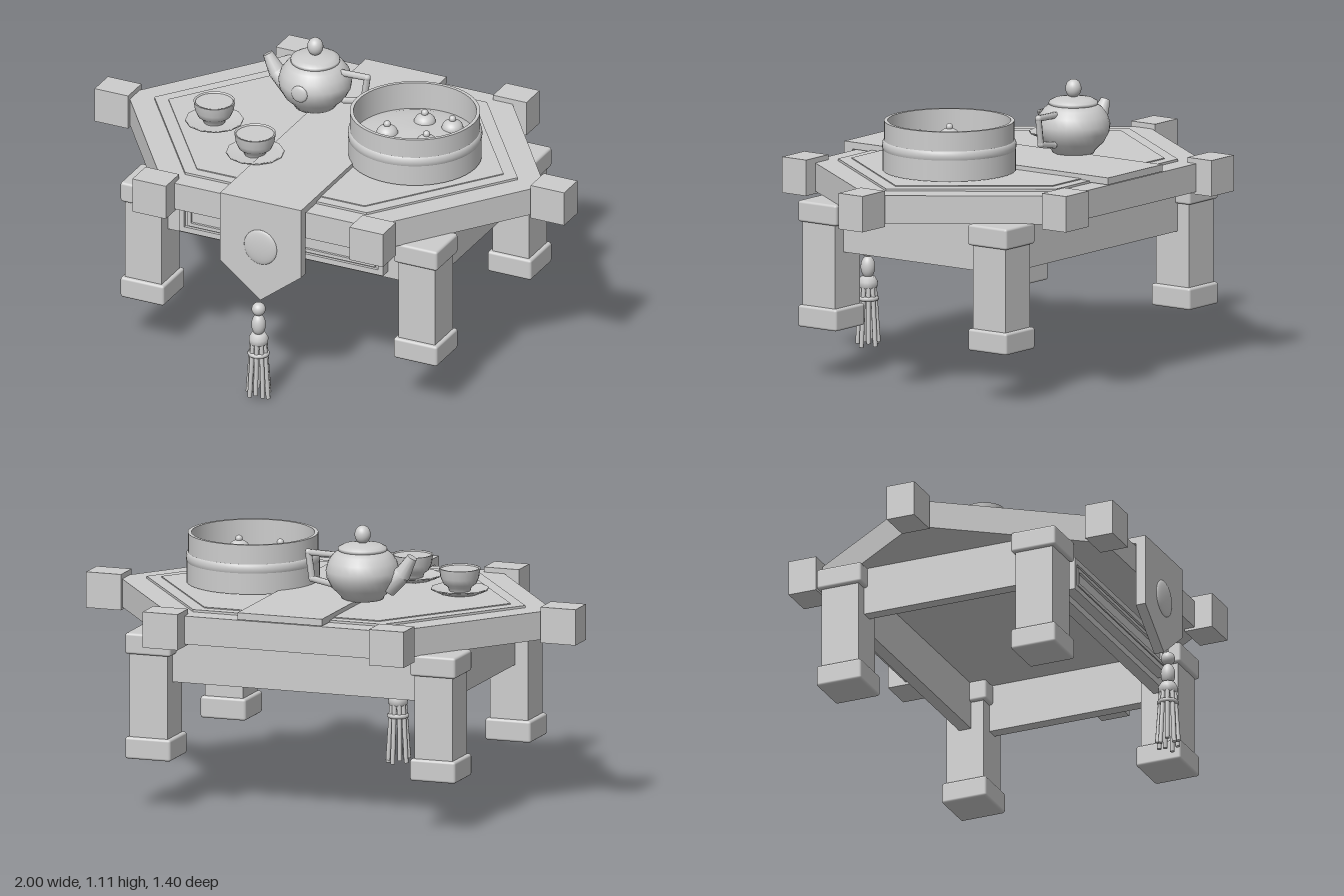
import * as THREE from 'three';
import { RoundedBoxGeometry } from 'three/addons/geometries/RoundedBoxGeometry.js';

const grey = new THREE.MeshStandardMaterial({ color: 0xcccccc });
grey.name = 'plain grey';
const CZ = -0.02; // centre line of the table in z

function add(parent, name, geometry, x = 0, y = 0, z = 0) {
  const mesh = new THREE.Mesh(geometry, grey);
  mesh.name = name;
  mesh.position.set(x, y, z);
  parent.add(mesh);
  return mesh;
}

function group(parent, name, x = 0, y = 0, z = 0) {
  const g = new THREE.Group();
  g.name = name;
  g.position.set(x, y, z);
  parent.add(g);
  return g;
}

// Box given by its limits on each axis
function block(parent, name, x0, x1, y0, y1, z0, z1, round = 0) {
  const s = [x1 - x0, y1 - y0, z1 - z0];
  const geo = round ? new RoundedBoxGeometry(...s, 2, round) : new THREE.BoxGeometry(...s);
  return add(parent, name, geo, (x0 + x1) / 2, (y0 + y1) / 2, (z0 + z1) / 2);
}

const lathe = (pts, sides) => new THREE.LatheGeometry(pts.map(p => new THREE.Vector2(...p)), sides);

function ellipsoid(rx, ry, rz) {
  return new THREE.SphereGeometry(1, 24, 16).scale(rx, ry, rz);
}

// Flat-sided hexagonal slab with a corner on the x axis
function hexSlab(rx, rz, h) {
  const geo = new THREE.CylinderGeometry(1, 1, h, 6).rotateY(Math.PI / 2).toNonIndexed();
  geo.scale(rx, 1, rz / Math.sin(Math.PI / 3));
  geo.computeVertexNormals();
  return geo;
}

function rectFrame(w, h, border, depth) {
  const rect = (T, a, b) => new T([[-a, -b], [a, -b], [a, b], [-a, b]].map(p => new THREE.Vector2(...p)));
  const shape = rect(THREE.Shape, w / 2, h / 2);
  shape.holes.push(rect(THREE.Path, w / 2 - border, h / 2 - border));
  return new THREE.ExtrudeGeometry(shape, { depth, bevelEnabled: false });
}

function rod(parent, name, a, b, r0, r1, sides = 8) {
  const from = new THREE.Vector3(...a), to = new THREE.Vector3(...b);
  const dir = to.clone().sub(from);
  const mesh = add(parent, name, new THREE.CylinderGeometry(r1, r0, dir.length(), sides));
  mesh.position.copy(from).add(to).multiplyScalar(0.5);
  mesh.quaternion.setFromUnitVectors(new THREE.Vector3(0, 1, 0), dir.normalize());
}

function buildTable(root) {
  const table = group(root, 'table');
  add(table, 'tableTop', hexSlab(0.89, 0.607, 0.11), 0, 0.745, CZ);
  add(table, 'outerInlay', hexSlab(0.775, 0.522, 0.01), 0, 0.804, CZ);
  add(table, 'innerInlay', hexSlab(0.715, 0.48, 0.01), 0, 0.808, CZ);

  // Square blocks on the six corners
  for (const [x, z] of [[0.93, 0], [0.463, 0.623], [0.463, -0.623]]) {
    for (const s of [-1, 1]) {
      add(table, 'cornerBlock', new THREE.BoxGeometry(0.143, 0.14, 0.115), s * x, 0.75, z + CZ);
    }
  }

  // Legs with foot and collar, and rails between them
  for (const sx of [-1, 1]) {
    for (const sz of [-1, 1]) {
      const leg = group(table, 'leg', sx * 0.583, 0, CZ + sz * 0.408);
      block(leg, 'legPost', -0.078, 0.078, 0.22, 0.68, -0.078, 0.078);
      block(leg, 'foot', -0.093, 0.093, 0.2, 0.285, -0.093, 0.093, 0.01);
      block(leg, 'collar', -0.093, 0.093, 0.61, 0.692, -0.093, 0.093, 0.01);
    }
    block(table, 'sideRail', sx * 0.583 - 0.025, sx * 0.583 + 0.025, 0.5, 0.695, -0.36, 0.32);
    const z = CZ + sx * 0.408;
    block(table, 'longRail', -0.52, 0.52, 0.5, 0.695, z - 0.025, z + 0.025);
  }

  // Drawer front with stepped mouldings
  block(table, 'drawerPanel', -0.435, 0.435, 0.527, 0.66, 0.41, 0.445);
  add(table, 'drawerOuterFrame', rectFrame(0.87, 0.133, 0.022, 0.012), 0, 0.5935, 0.445);
  add(table, 'drawerInnerFrame', rectFrame(0.8, 0.075, 0.014, 0.01), 0, 0.5935, 0.445);
}

function buildRunner(root) {
  const runner = group(root, 'runner');
  block(runner, 'runnerCloth', -0.173, 0.173, 0.803, 0.83, -0.63, 0.635);
  const shape = new THREE.Shape([[-0.173, 0.82], [-0.173, 0.542], [0, 0.408], [0.173, 0.542], [0.173, 0.82]]
    .map(p => new THREE.Vector2(...p)));
  add(runner, 'hangingEnd', new THREE.ExtrudeGeometry(shape, { depth: 0.04, bevelEnabled: false }), 0, 0, 0.595);
  add(runner, 'medallion', ellipsoid(0.07, 0.073, 0.013), 0, 0.635, 0.635);

  // Tassel
  const tassel = group(runner, 'tassel', 0, 0, 0.652);
  add(tassel, 'topBead', ellipsoid(0.027, 0.027, 0.027), 0, 0.378, 0);
  add(tassel, 'longBead', ellipsoid(0.028, 0.044, 0.028), 0, 0.312, 0);
  add(tassel, 'tasselCap', lathe([[0, 0.278], [0.028, 0.274], [0.038, 0.255], [0.036, 0.235], [0.028, 0.228], [0, 0.228]].reverse(), 20));
  add(tassel, 'tasselBand', new THREE.TorusGeometry(0.034, 0.009, 8, 24).rotateX(Math.PI / 2), 0, 0.19, 0);
  for (let i = 0; i < 9; i++) {
    const a = i / 9 * Math.PI * 2, c = Math.cos(a), s = Math.sin(a);
    rod(tassel, 'strand', [c * 0.026, 0.24, s * 0.026], [c * 0.041, 0.003 + (i * 4 % 9) * 0.003, s * 0.041], 0.009, 0.009);
  }
}

function buildSteamer(root) {
  const steamer = group(root, 'steamer', 0.347, 0, 0);
  // Separate strips keep the rim crisp
  const strips = [
    [[0, 0.818], [0.25, 0.818]], [[0.25, 0.818], [0.25, 1.01]],
    [[0.25, 1.01], [0.236, 1.01]], [[0.236, 1.01], [0.236, 0.9]],
  ];
  strips.forEach(p => add(steamer, 'steamerWall', lathe(p, 48)));
  add(steamer, 'steamerHoop', lathe([[0.25, 0.895], [0.256, 0.9], [0.258, 0.915], [0.256, 0.929], [0.25, 0.934]], 48));
  add(steamer, 'steamerLowerBand', lathe([[0.256, 0.818], [0.256, 0.9]], 48));
  add(steamer, 'steamerTray', lathe([[0.237, 0.9], [0.2, 0.913], [0.12, 0.925], [0, 0.93]], 48));
  for (const [x, z] of [[0, -0.085], [0.118, -0.085], [-0.087, 0.065], [0.086, 0.075]]) {
    const bun = group(steamer, 'bun', x, 0.92, z);
    add(bun, 'bunBody', ellipsoid(0.042, 0.034, 0.042), 0, 0.005, 0);
    add(bun, 'bunKnot', ellipsoid(0.014, 0.014, 0.014), 0, 0.043, 0);
  }
}

function buildTeapot(root) {
  const pot = group(root, 'teapot', -0.177, 0, -0.2);
  add(pot, 'potBody', lathe([[0, 0.825], [0.08, 0.828], [0.085, 0.84], [0.118, 0.872], [0.138, 0.91], [0.142, 0.94],
    [0.132, 0.975], [0.112, 1.002], [0.088, 1.02], [0, 1.02]], 28));
  add(pot, 'lid', lathe([[0.085, 1.012], [0.095, 1.018], [0.094, 1.028], [0.075, 1.038], [0.03, 1.046], [0, 1.047]], 28));
  add(pot, 'lidKnob', ellipsoid(0.031, 0.036, 0.031), 0, 1.078, 0);
  add(pot, 'potMedallion', ellipsoid(0.034, 0.034, 0.012), 0, 0.935, 0.138);
  // Spout towards the model's right
  rod(pot, 'spout', [-0.1, 0.885, 0], [-0.165, 0.935, 0], 0.046, 0.033, 12);
  rod(pot, 'spoutTip', [-0.16, 0.93, 0], [-0.203, 1.003, 0], 0.034, 0.02, 12);
  // Angular handle
  const pts = [[0.1, 0.99], [0.222, 0.993], [0.207, 0.89], [0.125, 0.875]];
  for (let i = 0; i < 3; i++) {
    rod(pot, 'handle', [...pts[i], 0], [...pts[i + 1], 0], 0.013, 0.013, 6);
    add(pot, 'handleJoint', new THREE.SphereGeometry(0.014, 8, 6), ...pts[i + 1], 0);
  }
}

function buildCups(root) {
  for (const [x, z] of [[-0.465, 0.09], [-0.205, 0.265]]) {
    const cup = group(root, 'cupAndSaucer', x, 0, z);
    add(cup, 'saucer', lathe([[0, 0.81], [0.075, 0.812], [0.113, 0.83], [0.111, 0.835], [0.07, 0.824], [0, 0.822]], 12));
    add(cup, 'cup', lathe([[0.04, 0.82], [0.046, 0.838], [0.064, 0.852], [0.074, 0.875], [0.08, 0.912]], 20));
    add(cup, 'cupRim', lathe([[0.08, 0.912], [0.074, 0.912], [0.073, 0.905]], 20));
    add(cup, 'tea', new THREE.CircleGeometry(0.075, 20).rotateX(-Math.PI / 2), 0, 0.907, 0);
  }
}

export function createModel() {
  const root = new THREE.Group();
  root.name = 'teaTable';
  buildTable(root);
  buildRunner(root);
  buildSteamer(root);
  buildTeapot(root);
  buildCups(root);
  return root;
}
